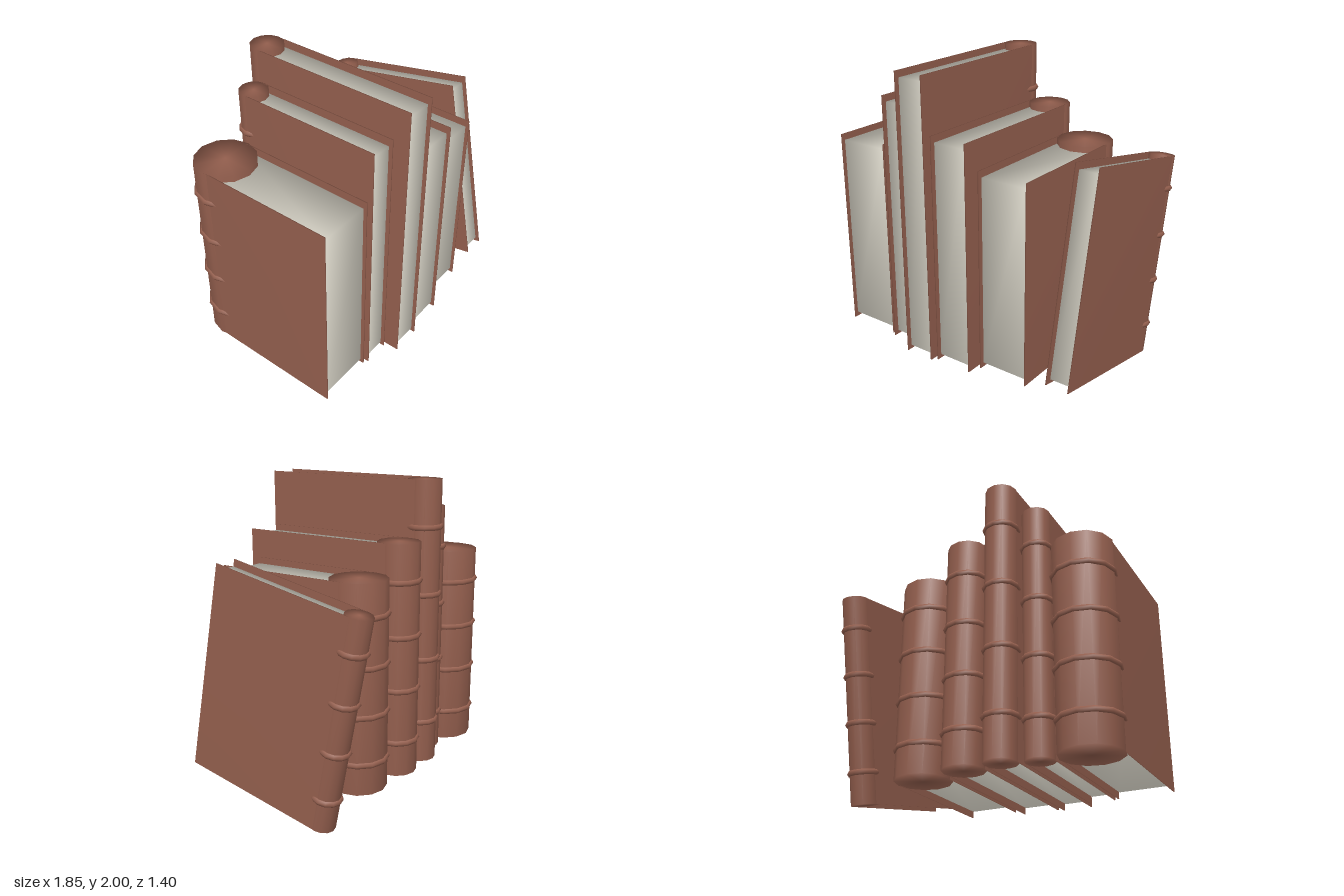
import * as THREE from 'three';
import { mergeVertices } from 'three/addons/utils/BufferGeometryUtils.js';

const leather = new THREE.MeshStandardMaterial({ color: 0x945f4e });
const paper = new THREE.MeshStandardMaterial({ color: 0xddd9cc });

// Weld all corners so the shading flows softly over the edges
function soften(geometry) {
  geometry.deleteAttribute('normal');
  geometry.deleteAttribute('uv');
  const welded = mergeVertices(geometry, 1e-4);
  welded.computeVertexNormals();
  return welded;
}

function addPart(parent, name, geometry, material, x, y, z) {
  const mesh = new THREE.Mesh(soften(geometry), material);
  mesh.name = name;
  mesh.position.set(x, y, z);
  parent.add(mesh);
}

// A book whose origin is the bottom centre of its round spine; pages run to +z
function makeBook(radius, height, depth) {
  const book = new THREE.Group();
  book.name = 'book';
  addPart(book, 'spine', new THREE.CylinderGeometry(radius, radius, height, 12),
    leather, 0, height / 2, 0);

  // Raised bands around the spine
  for (const t of [0.148, 0.379, 0.61, 0.841]) {
    const band = new THREE.TorusGeometry(radius - 0.004, 0.02, 6, 12).rotateX(Math.PI / 2);
    addPart(book, 'spineBand', band, leather, 0, height * t, 0);
  }

  // Thin covers on both sides
  for (const side of [-1, 1]) {
    addPart(book, side > 0 ? 'leftCover' : 'rightCover',
      new THREE.BoxGeometry(0.007, height, depth), leather,
      side * (radius * 0.96 - 0.0035), height / 2, depth / 2);
  }

  // Page block, set in from the cover edges
  const pageDepth = depth - 0.015;
  addPart(book, 'pages',
    new THREE.BoxGeometry(2 * (radius - 0.025), height - 0.078, pageDepth),
    paper, 0, height / 2, pageDepth / 2);
  return book;
}

export function createModel() {
  const model = new THREE.Group();
  model.name = 'bookRow';

  // Upright books: x, spine z, spine radius, top, front z
  const upright = [
    [-0.713, -0.335, 0.198, 1.48, 0.593],
    [-0.408, -0.36, 0.094, 1.805, 0.61],
    [-0.192, -0.435, 0.108, 2.0, 0.7],
    [0.069, -0.407, 0.136, 1.638, 0.67],
    [0.4, -0.33, 0.182, 1.457, 0.588],
  ];
  const base = 0.12;
  for (const [x, z, radius, top, front] of upright) {
    const book = makeBook(radius, top - base, front - z);
    book.position.set(x, base, z);
    model.add(book);
  }

  // Last book leans back onto the corner of its spine
  const leaning = makeBook(0.085, 1.366, 0.976);
  leaning.name = 'leaningBook';
  leaning.position.set(0.82, 0.02, -0.347);
  leaning.rotation.x = -0.196;
  model.add(leaning);
  return model;
}
